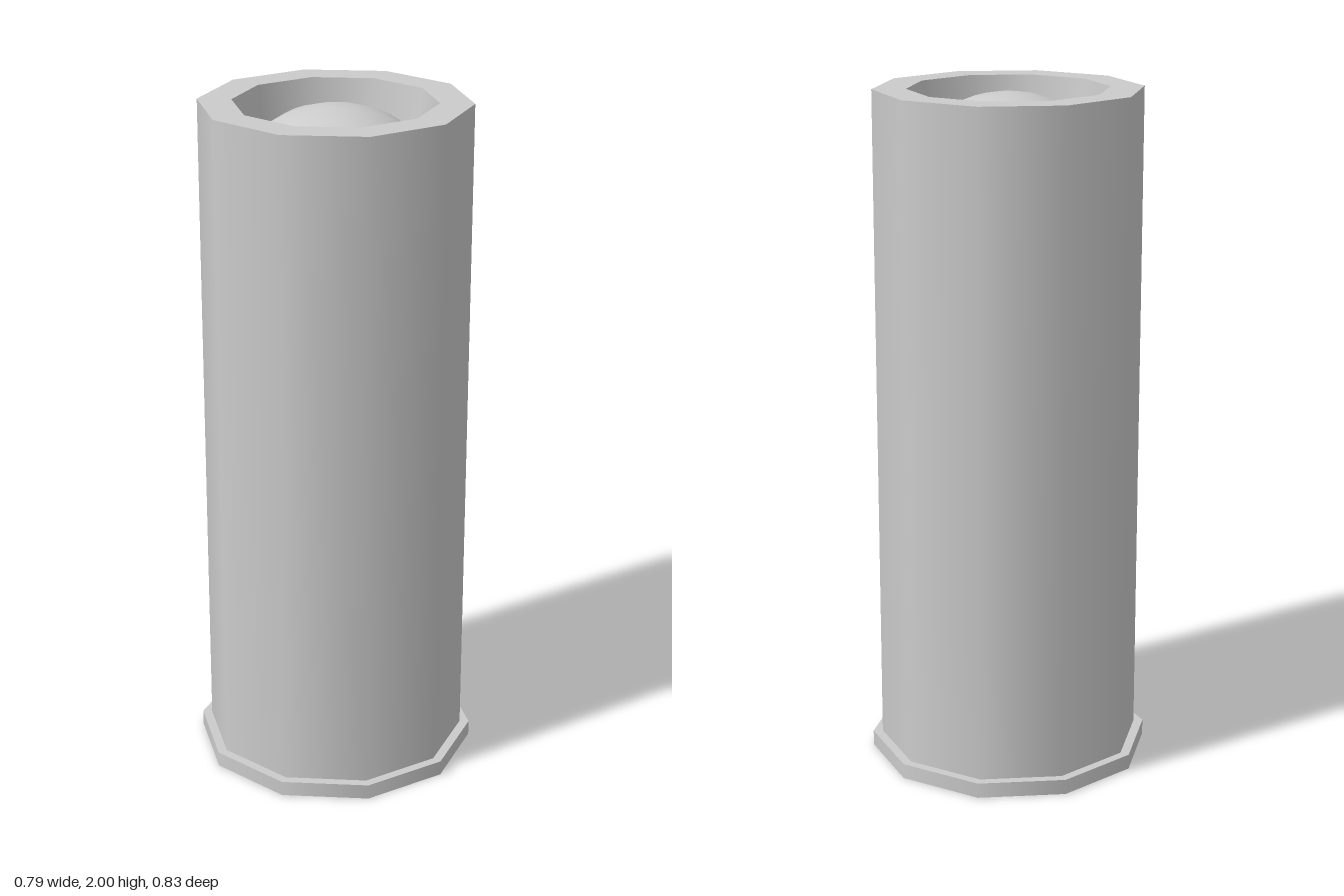
import * as THREE from 'three';

const SIDES = 10;
const material = new THREE.MeshStandardMaterial({ color: 0xcccccc });

function add(group, name, geometry, y = 0) {
  const mesh = new THREE.Mesh(geometry, material);
  mesh.name = name;
  mesh.position.y = y;
  group.add(mesh);
}

// Ten-sided surface turned from [radius, height] points
const turn = (points) =>
  new THREE.LatheGeometry(points.map(([r, y]) => new THREE.Vector2(r, y)), SIDES);

export function createModel() {
  const group = new THREE.Group();
  group.name = 'cartridge';

  const baseHeight = 0.045, top = 2;
  const outer = 0.387, mouth = 0.29, seat = 0.272, seatY = 1.864;

  // Wider rim at the foot
  add(group, 'baseRim', new THREE.CylinderGeometry(0.415, 0.415, baseHeight, SIDES), baseHeight / 2);

  // Casing: outer wall, flat lip and slightly tapered inner wall
  add(group, 'outerWall', turn([[outer, baseHeight], [outer, top]]));
  add(group, 'topLip', turn([[outer, top], [mouth, top]]));
  add(group, 'innerWall', turn([[mouth, top], [seat, seatY]]));

  // Rounded tip resting in the mouth: a spherical cap
  const rise = 0.124;
  const R = (seat * seat + rise * rise) / (2 * rise);
  const edge = Math.asin(seat / R);
  const cap = [];
  for (let i = 0; i <= 8; i++) {
    const a = edge * (1 - i / 8);
    cap.push([R * Math.sin(a), seatY + rise - R + R * Math.cos(a)]);
  }
  add(group, 'domedTip', turn(cap));

  return group;
}
